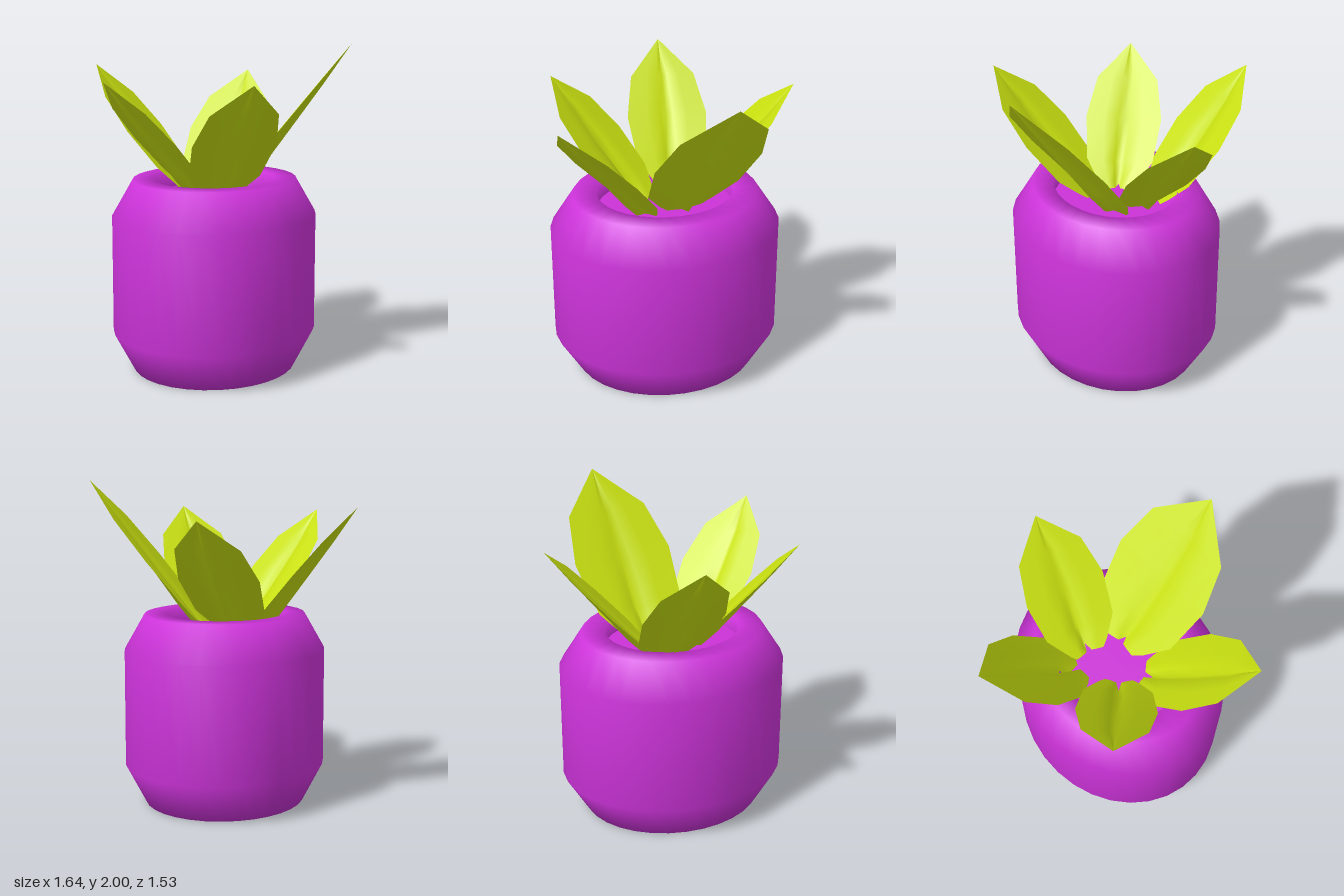
import * as THREE from 'three';

const potMaterial = new THREE.MeshStandardMaterial({ color: 0xcc33d9, side: THREE.DoubleSide });
const leafMaterial = new THREE.MeshStandardMaterial({ color: 0xc8e010, side: THREE.DoubleSide });

// Oval pot centre and half sizes
const POT = { x: 0.02, z: 0.04, rx: 0.62, rz: 0.715 };

function makePot() {
  const group = new THREE.Group();
  group.name = 'pot';
  group.position.set(POT.x, 0, POT.z);

  // Chamfered body with a shallow opening, radii relative to the oval
  const profile = [
    [0, 0], [0.8, 0], [1, 0.24], [1, 0.96], [0.8, 1.18], [0.59, 1.18], [0.59, 1.06],
  ].map(([r, y]) => new THREE.Vector2(r, y));
  const body = new THREE.Mesh(
    new THREE.LatheGeometry(profile, 32).scale(POT.rx, 1, POT.rz), potMaterial);
  body.name = 'potBody';

  // Flat filling inside the opening
  const fill = new THREE.Mesh(
    new THREE.CircleGeometry(0.59, 32).rotateX(-Math.PI / 2).scale(POT.rx, 1, POT.rz), potMaterial);
  fill.name = 'potFilling';
  fill.position.y = 1.08;

  group.add(body, fill);
  return group;
}

// Rows along a leaf: position along it, relative half width, depth of the midrib groove
const ROWS = [
  [0, 0.25, 0.03], [0.08, 0.52, 0.045], [0.22, 0.87, 0.05],
  [0.5, 1, 0.035], [0.76, 0.8, 0.02], [1, 0, 0],
];
// Columns across a leaf: relative offset, share of the groove depth
const COLS = [[-1, -0.3], [-0.5, -0.1], [-0.16, 0.1], [0, 1], [0.16, 0.1], [0.5, -0.1], [1, -0.3]];

function makeLeaf(name, base, tip, halfWidth) {
  const start = new THREE.Vector3(...base);
  const along = new THREE.Vector3(...tip).sub(start);
  const side = along.clone().cross(new THREE.Vector3(0, 1, 0)).normalize();
  const normal = side.clone().cross(along).normalize();

  const geometry = new THREE.PlaneGeometry(1, 1, COLS.length - 1, ROWS.length - 1);
  const position = geometry.attributes.position;
  const p = new THREE.Vector3();
  for (let i = 0; i < position.count; i++) {
    const [t, width, groove] = ROWS[ROWS.length - 1 - Math.floor(i / COLS.length)];
    const [offset, share] = COLS[i % COLS.length];
    p.copy(start)
      .addScaledVector(along, t)
      .addScaledVector(side, offset * width * halfWidth)
      .addScaledVector(normal, -groove * share);
    position.setXYZ(i, p.x, p.y, p.z);
  }
  geometry.computeVertexNormals();

  const leaf = new THREE.Mesh(geometry, leafMaterial);
  leaf.name = name;
  return leaf;
}

export function createModel() {
  const model = new THREE.Group();
  model.name = 'pottedPlant';
  model.add(makePot());

  // Five leaves fanning out of the opening
  const leaves = new THREE.Group();
  leaves.name = 'leaves';
  [
    ['leftLeaf', [0.08, 1.05, -0.06], [0.82, 2.0, -0.17], 0.34],
    ['backLeaf', [-0.09, 1.05, -0.1], [0.01, 1.79, -0.77], 0.255],
    ['rightLeaf', [-0.17, 1.05, -0.08], [-0.82, 1.85, -0.13], 0.255],
    ['frontRightLeaf', [-0.04, 1.05, 0.12], [-0.47, 1.8, 0.64], 0.24],
    ['frontLeftLeaf', [0.08, 1.05, 0.17], [0.46, 1.81, 0.76], 0.255],
  ].forEach((leaf) => leaves.add(makeLeaf(...leaf)));
  model.add(leaves);

  return model;
}
